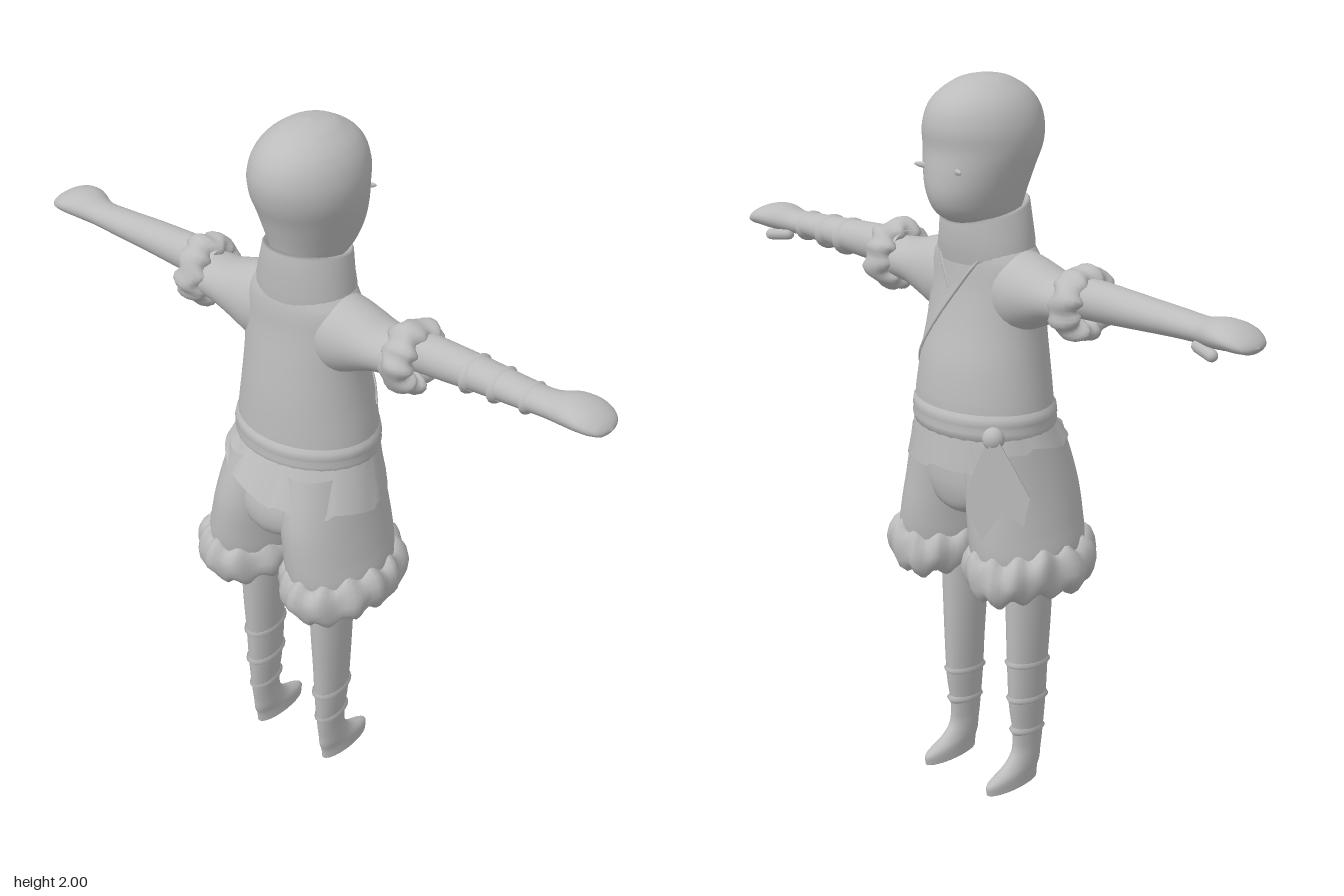
import * as THREE from 'three';

const grey = new THREE.MeshStandardMaterial({ color: 0xbcbcbc, side: THREE.DoubleSide });
grey.name = 'clayGrey';

// Skin a grid of points: rows run upwards, columns run round the axis.
function skin(name, rowCount, cols, point) {
  const pos = [], index = [];
  for (let j = 0; j < rowCount; j++)
    for (let i = 0; i < cols; i++) pos.push(...point(j, (i / cols) * Math.PI * 2));
  for (let j = 0; j < rowCount - 1; j++)
    for (let i = 0; i < cols; i++) {
      const a = j * cols + i, b = j * cols + ((i + 1) % cols);
      index.push(a, a + cols, b, b, a + cols, b + cols);
    }
  const g = new THREE.BufferGeometry();
  g.setAttribute('position', new THREE.Float32BufferAttribute(pos, 3));
  g.setIndex(index);
  g.computeVertexNormals();
  const mesh = new THREE.Mesh(g, grey);
  mesh.name = name;
  return mesh;
}

// Smoothly sample rows of [y, cx, cz, rx, rz] at height y.
function sampler(rows) {
  const it = new THREE.CubicInterpolant(rows.map(r => r[0]), rows.flatMap(r => r.slice(1)), 4);
  return y => Array.from(it.evaluate(y));
}

// Loft of ellipses; tilt slopes the rings along z.
function loft(name, rows, { steps = 4, cols = 32, smooth = true, tilt = () => 0 } = {}) {
  let fine = rows;
  if (smooth) {
    const at = sampler(rows);
    fine = [];
    rows.forEach((r, k) => {
      const next = rows[k + 1];
      if (!next) return fine.push(r);
      for (let s = 0; s < steps; s++) {
        const y = r[0] + ((next[0] - r[0]) * s) / steps;
        fine.push([y, ...at(y)]);
      }
    });
  }
  return skin(name, fine.length, cols, (j, a) => {
    const [y, cx, cz, rx, rz] = fine[j];
    const z = cz + Math.sin(a) * Math.max(rz, 0);
    return [cx + Math.cos(a) * Math.max(rx, 0), y + tilt(y) * z, z];
  });
}

// Lumpy fur trim running round an ellipse.
function fur(name, rx, rz, thick, half, lumps) {
  const n = 14;
  return skin(name, n + 1, lumps * 6, (j, a) => {
    const p = -Math.PI + (j / n) * Math.PI * 2;
    const wave = Math.sin(a * lumps + 1.3 * Math.sin(3 * a));
    const t = thick * (0.92 + 0.14 * wave + 0.08 * Math.sin(a * 5 + 2 * p));
    const h = half * (0.9 + 0.16 * Math.sin(a * lumps + (p > 0 ? 0 : 2)));
    return [Math.cos(a) * (rx + t * Math.cos(p)), h * Math.sin(p) + half * 0.1 * Math.sin(4 * a),
      Math.sin(a) * (rz + t * Math.cos(p))];
  });
}

// Thin wrapped band round a limb.
function band(name, rx, rz, y, cx, cz, slope = 0.1) {
  const m = loft(name, [[-0.014, 0, 0, rx - 0.004, rz - 0.004], [0, 0, 0, rx + 0.007, rz + 0.007],
    [0.014, 0, 0, rx - 0.004, rz - 0.004]], { cols: 20, smooth: false });
  m.position.set(cx, y, cz);
  m.rotation.x = slope;
  return m;
}

const torsoRows = [
  [1.135, 0, -0.028, 0.203, 0.168], [1.16, 0, -0.028, 0.2, 0.167], [1.25, 0, -0.025, 0.187, 0.158],
  [1.35, 0, -0.018, 0.176, 0.139], [1.45, 0, -0.015, 0.175, 0.122], [1.52, 0, -0.015, 0.163, 0.116],
  [1.56, 0, -0.018, 0.132, 0.11], [1.6, 0, -0.02, 0.1, 0.1]];

function buildHead() {
  const g = new THREE.Group();
  g.name = 'headGroup';
  g.add(loft('head', [
    [1.56, 0, -0.02, 0.07, 0.07], [1.62, 0, -0.035, 0.078, 0.095], [1.65, 0, -0.047, 0.094, 0.127],
    [1.7, 0, -0.053, 0.112, 0.148], [1.76, 0, -0.045, 0.131, 0.158], [1.82, 0, -0.031, 0.145, 0.166],
    [1.88, 0, -0.03, 0.143, 0.17], [1.94, 0, -0.031, 0.117, 0.145], [1.975, 0, -0.03, 0.079, 0.098],
    [1.992, 0, -0.03, 0.044, 0.055], [2, 0, -0.03, 0, 0]], { cols: 40 }));
  for (const s of [-1, 1]) {
    const eye = new THREE.Mesh(new THREE.SphereGeometry(1, 16, 8), grey);
    eye.name = 'eyelid';
    eye.scale.set(0.028, 0.008, 0.006);
    eye.position.set(s * 0.06, 1.775, -0.184);
    eye.rotation.set(0, s * 0.42, s * 0.08);
    g.add(eye);
  }
  return g;
}

function buildShirt() {
  const g = new THREE.Group();
  g.name = 'shirt';
  g.add(loft('torso', torsoRows));
  g.add(loft('collar', [[1.53, 0, -0.018, 0.137, 0.116], [1.56, 0, -0.02, 0.137, 0.12],
    [1.6, 0, -0.022, 0.126, 0.121], [1.655, 0, -0.025, 0.113, 0.123], [1.662, 0, -0.025, 0.106, 0.116],
    [1.64, 0, -0.025, 0.1, 0.11], [1.6, 0, -0.025, 0.095, 0.1]],
  { smooth: false, tilt: y => (y > 1.59 ? 0.2 : 0.08) }));
  // crossed front edges
  const at = sampler(torsoRows);
  const edge = (x0, y0, x1, y1) => {
    const pts = Array.from({ length: 9 }, (_, k) => {
      const x = x0 + ((x1 - x0) * k) / 8, y = y0 + ((y1 - y0) * k) / 8;
      const [, cz, rx, rz] = at(y);
      return new THREE.Vector3(x, y, cz - rz * Math.sqrt(1 - Math.min(1, (x / rx) ** 2)));
    });
    const m = new THREE.Mesh(new THREE.TubeGeometry(new THREE.CatmullRomCurve3(pts), 24, 0.005, 6), grey);
    m.name = 'wrapEdge';
    g.add(m);
  };
  edge(-0.08, 1.55, 0.175, 1.2);
  edge(0.08, 1.55, 0.02, 1.45);
  return g;
}

// Sleeve, fur cuff, arm and hand, built along y and turned to point sideways.
function buildArm(s) {
  const g = new THREE.Group();
  g.name = s > 0 ? 'leftArm' : 'rightArm';
  const rows = list => list.map(([d, h, z, r, rz]) => [d, -s * (h - 1.475), z, r, rz]);
  g.add(loft('sleeve', rows([[0.06, 1.44, -0.015, 0.12, 0.09], [0.14, 1.445, -0.015, 0.108, 0.098],
    [0.2, 1.45, -0.015, 0.086, 0.09], [0.27, 1.453, -0.015, 0.062, 0.08], [0.35, 1.456, -0.02, 0.062, 0.075]])));
  const cuff = fur('sleeveFur', 0.068, 0.072, 0.033, 0.05, 9);
  cuff.position.set(s * 0.018, 0.345, -0.02);
  g.add(cuff);
  g.add(loft('forearmAndHand', rows([[0.3, 1.475, -0.025, 0.056, 0.058], [0.42, 1.477, -0.027, 0.052, 0.053],
    [0.55, 1.478, -0.03, 0.044, 0.05], [0.68, 1.478, -0.03, 0.036, 0.046], [0.75, 1.478, -0.033, 0.033, 0.046],
    [0.81, 1.485, -0.04, 0.037, 0.064], [0.86, 1.484, -0.041, 0.031, 0.068], [0.895, 1.476, -0.042, 0.022, 0.055],
    [0.913, 1.47, -0.042, 0.012, 0.032], [0.92, 1.47, -0.042, 0, 0]]), { cols: 24 }));
  const thumb = new THREE.Mesh(new THREE.CapsuleGeometry(0.016, 0.06, 4, 10), grey);
  thumb.name = 'thumb';
  thumb.position.set(s * 0.032, 0.785, -0.075);
  thumb.rotation.set(-0.3, 0, -s * 0.12);
  g.add(thumb);
  if (s > 0) for (const [d, r] of [[0.53, 0.046], [0.61, 0.042], [0.7, 0.036]])
    g.add(band('armWrap', r, r + 0.009, d, 0, -0.03, 0.12));
  g.rotation.z = (-s * Math.PI) / 2;
  g.position.y = 1.475;
  return g;
}

function buildLeg(s) {
  const g = new THREE.Group();
  g.name = s > 0 ? 'leftLeg' : 'rightLeg';
  const x = s * 0.125;
  g.add(loft('trouserLeg', [[0.66, s * 0.14, 0, 0.11, 0.16], [0.72, s * 0.14, 0, 0.127, 0.18],
    [0.8, s * 0.13, 0, 0.122, 0.187], [0.9, s * 0.115, 0, 0.114, 0.184], [1.05, s * 0.095, -0.015, 0.1, 0.165]]));
  g.add(loft('trouserFloor', [[0.66, s * 0.14, 0, 0.01, 0.01], [0.665, s * 0.14, 0, 0.115, 0.165]], { smooth: false }));
  const cuff = fur('trouserFur', 0.108, 0.168, 0.046, 0.072, 13);
  cuff.position.set(s * 0.148, 0.685, 0);
  g.add(cuff);
  g.add(loft('shinAndFoot', [[0.002, x, -0.045, 0.03, 0.096], [0.03, x, -0.042, 0.029, 0.097],
    [0.055, x, -0.01, 0.028, 0.073], [0.085, x, 0.009, 0.027, 0.056], [0.12, x, 0.017, 0.027, 0.053],
    [0.25, x, 0.016, 0.036, 0.065], [0.35, x, 0.016, 0.041, 0.069], [0.5, x, 0.019, 0.049, 0.075],
    [0.72, x, 0.02, 0.057, 0.08]], { cols: 24 }));
  g.add(loft('sole', [[0, x, -0.045, 0, 0], [0, x, -0.045, 0.03, 0.096], [0.002, x, -0.045, 0.03, 0.096]],
    { smooth: false, cols: 24 }));
  const wraps = s > 0 ? [[0.265, 0.037, 0.066], [0.17, 0.03, 0.057]] : [[0.37, 0.042, 0.07], [0.26, 0.037, 0.066], [0.16, 0.029, 0.056]];
  for (const [y, rx, rz] of wraps) g.add(band('legWrap', rx, rz, y, x, 0.016));
  return g;
}

function buildWaist() {
  const g = new THREE.Group();
  g.name = 'waist';
  g.add(loft('hips', [[0.8, 0, 0, 0.02, 0.06], [0.83, 0, 0, 0.1, 0.14], [0.88, 0, 0, 0.19, 0.172],
    [0.98, 0, -0.01, 0.198, 0.172], [1.08, 0, -0.025, 0.19, 0.16]]));
  g.add(loft('sash', [[1.045, 0, -0.027, 0.19, 0.15], [1.06, 0, -0.027, 0.206, 0.171], [1.085, 0, -0.027, 0.212, 0.177],
    [1.095, 0, -0.027, 0.205, 0.17], [1.105, 0, -0.027, 0.212, 0.177], [1.125, 0, -0.027, 0.209, 0.174],
    [1.142, 0, -0.027, 0.195, 0.16]], { smooth: false }));
  // ragged shirt tail, longer on the left side
  g.add(skin('shirtTail', 4, 72, (j, a) => {
    const t = 1 - j / 3, c = Math.cos(a);
    const tear = 0.016 * (((a * 9) / (Math.PI * 2)) % 1) + 0.005 * Math.sin(a * 4);
    const hem = 0.965 - 0.028 * c + (c < -0.6 ? 0.03 : 0) + tear;
    const flare = 0.03 * t;
    return [c * (0.207 + flare * (c > 0 ? 1.3 : 0.5)), 1.075 + (hem - 1.075) * t,
      -0.025 + 0.018 * t + Math.sin(a) * (0.172 + flare)];
  }));
  // knot and hanging sash ends
  const knot = new THREE.Group();
  knot.name = 'sashKnot';
  const ball = new THREE.Mesh(new THREE.SphereGeometry(0.03, 16, 12), grey);
  ball.name = 'knot';
  ball.scale.set(1, 1.05, 0.8);
  knot.add(ball);
  const leaf = new THREE.Shape();
  leaf.moveTo(-0.012, 0);
  leaf.quadraticCurveTo(-0.06, -0.14, -0.045, -0.2);
  leaf.lineTo(0.005, -0.28);
  leaf.lineTo(0.045, -0.2);
  leaf.quadraticCurveTo(0.03, -0.1, 0.012, 0);
  for (const [turn, len, z] of [[-0.12, 1, 0], [0.32, 0.88, 0.01]]) {
    const end = new THREE.Mesh(new THREE.ExtrudeGeometry(leaf, { depth: 0.008, bevelEnabled: false }), grey);
    end.name = 'sashEnd';
    end.scale.y = len;
    end.position.z = z;
    end.rotation.set(-0.08, 0, turn);
    knot.add(end);
  }
  knot.position.set(-0.17, 1.085, -0.165);
  knot.rotation.y = Math.atan2(-0.65, -0.76);
  g.add(knot);
  return g;
}

export function createModel() {
  const model = new THREE.Group();
  model.name = 'figure';
  model.add(buildHead(), buildShirt(), buildWaist());
  for (const s of [-1, 1]) model.add(buildArm(s), buildLeg(s));
  return model;
}
